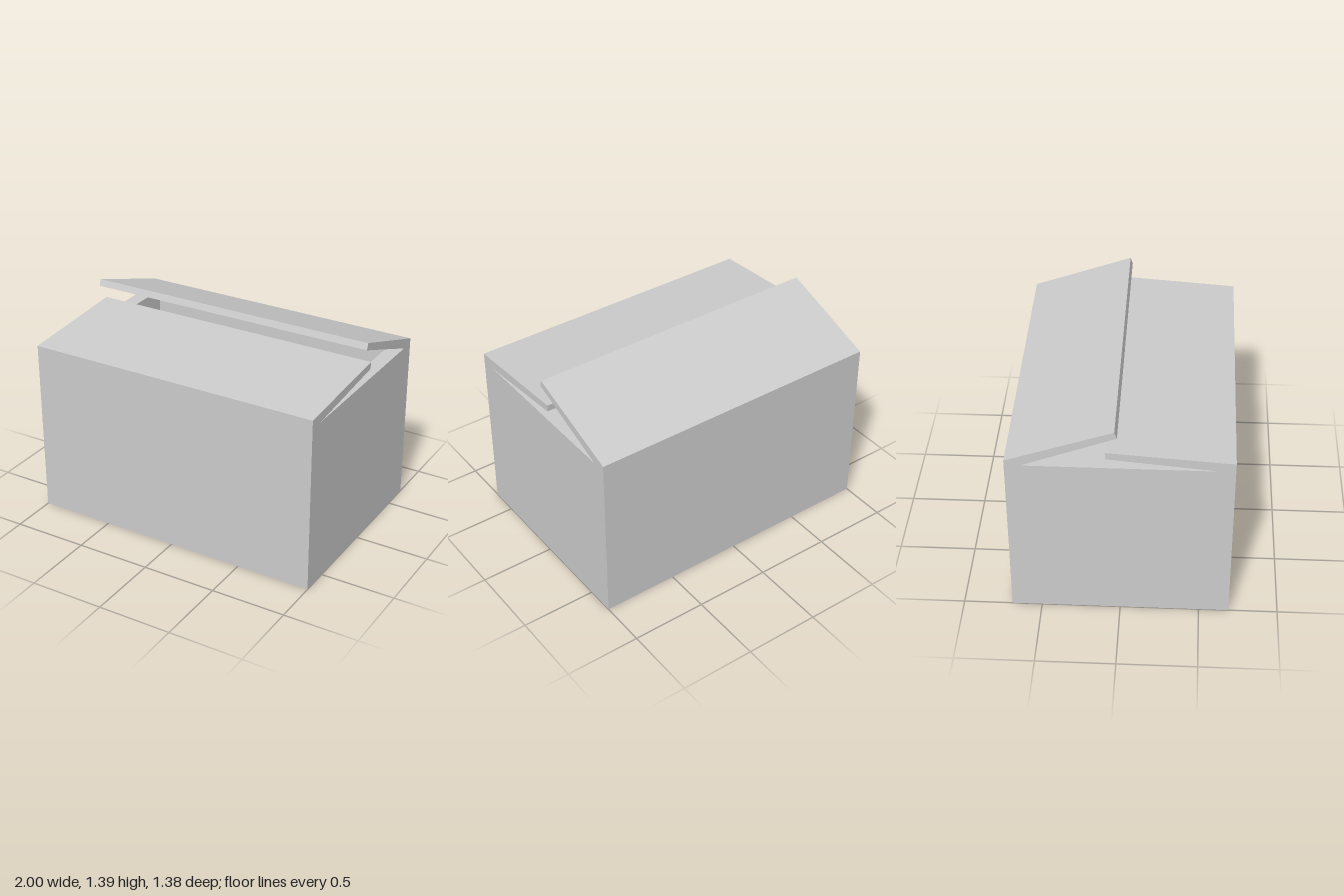
import * as THREE from 'three';

const WIDTH = 2, WALL = 0.1, RIM = 1.13, INNER = 0.595;

export function createModel() {
  const group = new THREE.Group();
  const cardboard = new THREE.MeshStandardMaterial({ color: 0xcccccc });
  cardboard.name = 'grey cardboard';

  const add = (name, geometry, x = 0, y = 0, z = 0) => {
    const mesh = new THREE.Mesh(geometry, cardboard);
    mesh.name = name;
    mesh.position.set(x, y, z);
    group.add(mesh);
  };

  // Extrude a (z, y) side profile across the full width of the box
  const acrossWidth = (points) => {
    const shape = new THREE.Shape(points.map(([z, y]) => new THREE.Vector2(z, y)));
    return new THREE.ExtrudeGeometry(shape, { depth: WIDTH, bevelEnabled: false })
      .translate(0, 0, -WIDTH / 2)
      .rotateY(-Math.PI / 2);
  };

  // Front wall with its nearly closed flap
  add('frontWallAndFlap', acrossWidth([
    [0.69, 0], [0.69, 1.187], [-0.087, 1.243], [-0.083, 1.197], [INNER, RIM], [INNER, 0],
  ]));

  // Back wall with its raised flap
  add('backWallAndFlap', acrossWidth([
    [-0.69, 0], [-0.69, 1.164], [-0.03, 1.395], [-0.015, 1.352], [-INNER, RIM], [-INNER, 0],
  ]));

  // Side walls between front and back
  for (const [name, side] of [['leftWall', 1], ['rightWall', -1]]) {
    add(name, new THREE.BoxGeometry(WALL, RIM, INNER * 2), side * (WIDTH - WALL) / 2, RIM / 2, 0);
  }

  // Floor inside the four walls
  add('floor', new THREE.BoxGeometry(WIDTH - WALL * 2, WALL, INNER * 2), 0, WALL / 2, 0);

  return group;
}
